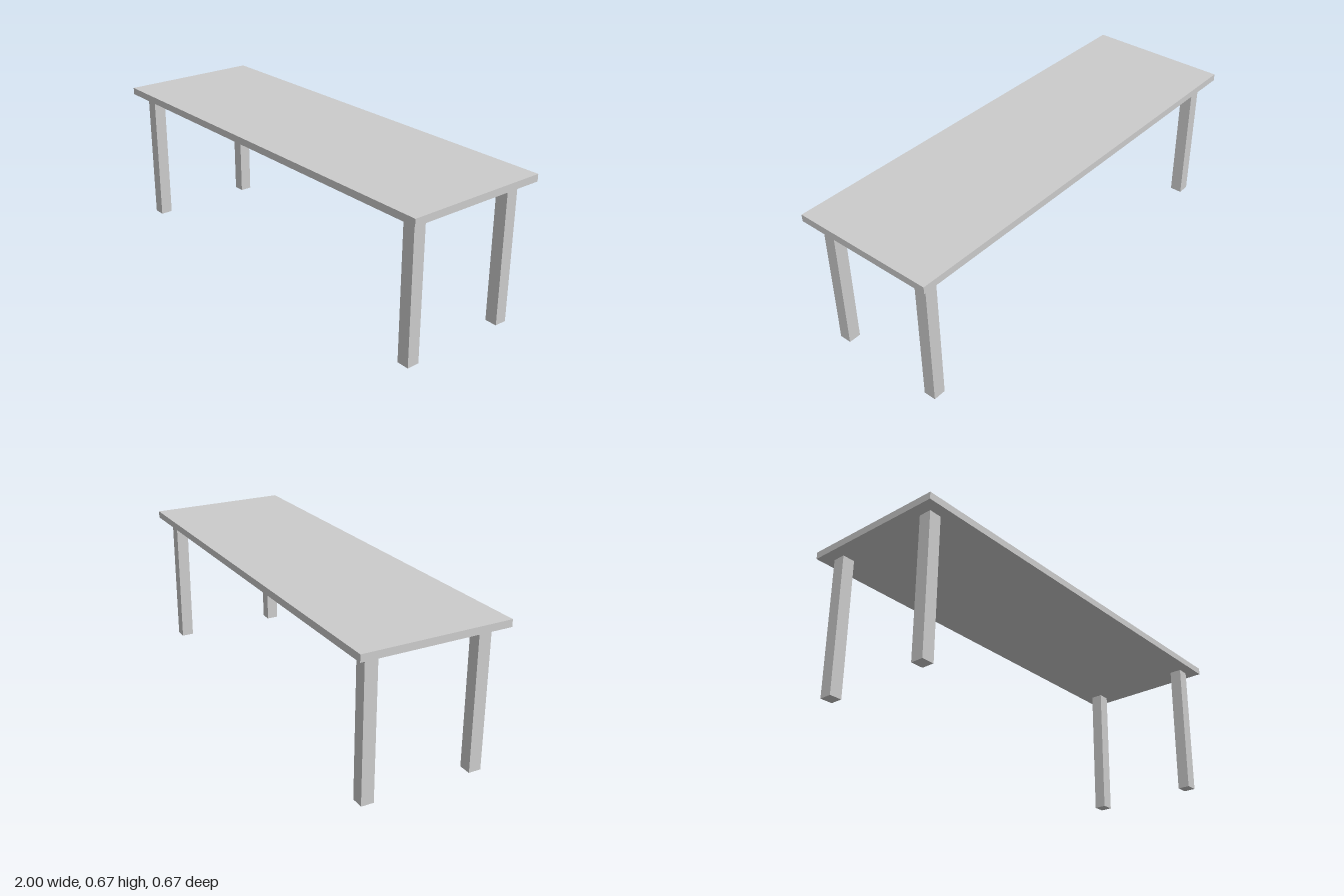
import * as THREE from 'three';

const TOP = { width: 2, depth: 0.667, thickness: 0.032, height: 0.667 };
const LEG = { size: 0.057, x: 0.918, z: 0.253 };

export function createModel() {
  const table = new THREE.Group();
  table.name = 'table';
  const material = new THREE.MeshStandardMaterial({ color: 0xcccccc });

  const addBox = (name, w, h, d, x, y, z) => {
    const mesh = new THREE.Mesh(new THREE.BoxGeometry(w, h, d), material);
    mesh.name = name;
    mesh.position.set(x, y, z);
    table.add(mesh);
  };

  // Flat slab top
  addBox('tableTop', TOP.width, TOP.thickness, TOP.depth, 0, TOP.height - TOP.thickness / 2, 0);

  // Four square legs, inset from the corners
  const legHeight = TOP.height - TOP.thickness;
  for (const [side, sx] of [['Left', 1], ['Right', -1]]) {
    for (const [end, sz] of [['front', 1], ['back', -1]]) {
      addBox(`${end}${side}Leg`, LEG.size, legHeight, LEG.size, sx * LEG.x, legHeight / 2, sz * LEG.z);
    }
  }

  return table;
}
